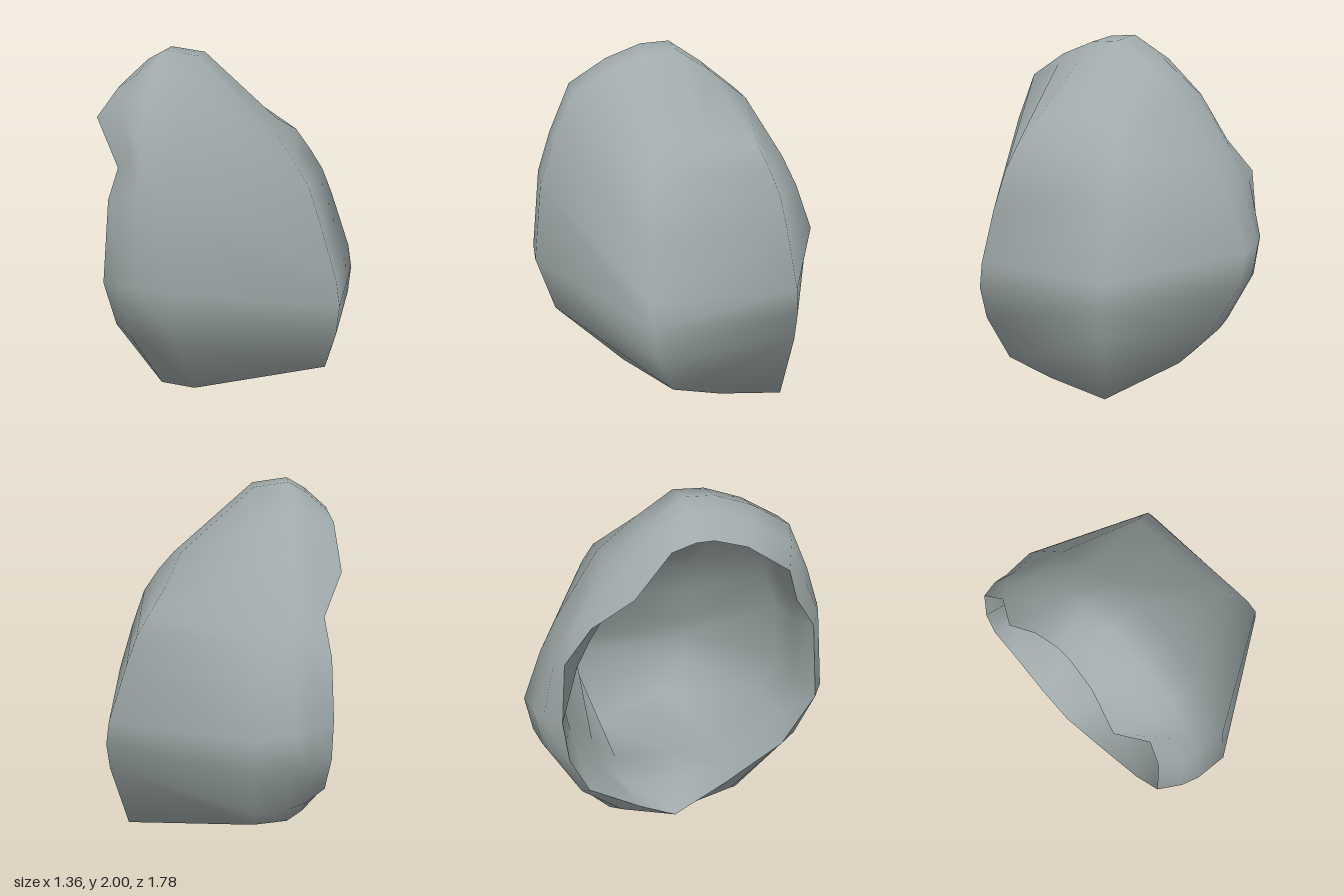
import * as THREE from 'three';

// Widest outline of the shell, [z, y], from the top round by the back
const OUTLINE = [
  [0, 2], [-0.2, 1.87], [-0.43, 1.69], [-0.68, 1.3], [-0.78, 1.1], [-0.89, 0.8],
  [-0.85, 0.58], [-0.64, 0.22], [-0.46, 0.04], [0, 0], [0.36, 0.02], [0.78, 0.43],
  [0.89, 0.76], [0.84, 1.24], [0.76, 1.48], [0.63, 1.77], [0.4, 1.91], [0.18, 1.99],
];

// Rim of the opening, [x, y, z], matching the outline point by point
const RIM = [
  [-0.6, 1.83, 0], [-0.62, 1.8, -0.14], [-0.65, 1.57, -0.35], [-0.54, 1.38, -0.56],
  [-0.57, 1.2, -0.72], [-0.59, 0.85, -0.75], [-0.59, 0.6, -0.72], [-0.57, 0.36, -0.61],
  [-0.58, 0.19, -0.32], [-0.58, 0.08, -0.1], [-0.58, 0.24, 0.2], [-0.58, 0.46, 0.56],
  [-0.59, 0.76, 0.75], [-0.56, 1.22, 0.72], [-0.53, 1.38, 0.62], [-0.68, 1.64, 0.5],
  [-0.62, 1.78, 0.28], [-0.6, 1.83, 0.1],
];

// Border of the broad closed end, [x, y, z], in the same order
const END = [
  [0.25, 1.59, -0.02], [0.33, 1.48, -0.34], [0.42, 1.34, -0.39], [0.49, 1.22, -0.42],
  [0.55, 1.06, -0.44], [0.66, 0.72, -0.47], [0.68, 0.58, -0.47], [0.665, 0.42, -0.46],
  [0.57, 0.04, -0.42], [0.56, 0.08, -0.05], [0.59, 0.16, 0.24], [0.66, 0.4, 0.35],
  [0.68, 0.58, 0.38], [0.66, 0.72, 0.38], [0.57, 1.02, 0.36], [0.49, 1.25, 0.33],
  [0.4, 1.39, 0.31], [0.3, 1.52, 0.25],
];

// The outline at a given x, scaled about its middle, with a given top height
const section = (x, scale, top) =>
  OUTLINE.map(([z, y]) => [x, 1 + ((y / 2) * top - 1) * scale, z * scale]);

// Rounded shoulder halfway between the rim and the first section
function shoulderRing(rim, ring) {
  return rim.map((p, i) => {
    const m = p.map((v, k) => v * 0.45 + ring[i][k] * 0.55);
    return [m[0], 1 + (m[1] - 1) * 1.02, m[2] * 1.02];
  });
}

// Skin over the rings, closing the last one with strips from side to side
function loft(rings) {
  const n = rings[0].length;
  const index = [];
  for (let r = 0; r < rings.length - 1; r++) {
    for (let j = 0; j < n; j++) {
      const a = r * n + j;
      const b = r * n + ((j + 1) % n);
      index.push(a, a + n, b, b, a + n, b + n);
    }
  }
  const last = (rings.length - 1) * n;
  for (let j = 0; j < n / 2; j++) {
    const [a, b, c, d] = [j, j + 1, n - j - 1, (n - j) % n].map((k) => last + k);
    if (a !== d) index.push(a, d, c);
    if (b !== c) index.push(a, c, b);
  }
  const geometry = new THREE.BufferGeometry();
  geometry.setAttribute('position', new THREE.Float32BufferAttribute(rings.flat(2), 3));
  geometry.setIndex(index);
  geometry.computeVertexNormals();
  return geometry;
}

export function createModel() {
  const group = new THREE.Group();
  group.name = 'openShell';
  const material = new THREE.MeshStandardMaterial({ color: 0xa0aaaa, side: THREE.DoubleSide });
  const addSkin = (name, rings) => {
    const mesh = new THREE.Mesh(loft(rings), material);
    mesh.name = name;
    group.add(mesh);
  };

  // outer wall
  const crown = section(-0.37, 0.98, 2.02);
  addSkin('outerShell', [RIM, shoulderRing(RIM, crown), crown, section(-0.17, 1, 1.97), END]);

  // inner wall, tapering in from the rim and following the closed end
  const innerEnd = END.map(([x, y, z]) => [x - 0.06, 0.8 + (y - 0.8) * 0.9, z * 0.9]);
  addSkin('innerLining', [RIM, section(-0.4, 0.79, 2), section(-0.15, 0.77, 1.97), innerEnd]);
  return group;
}
